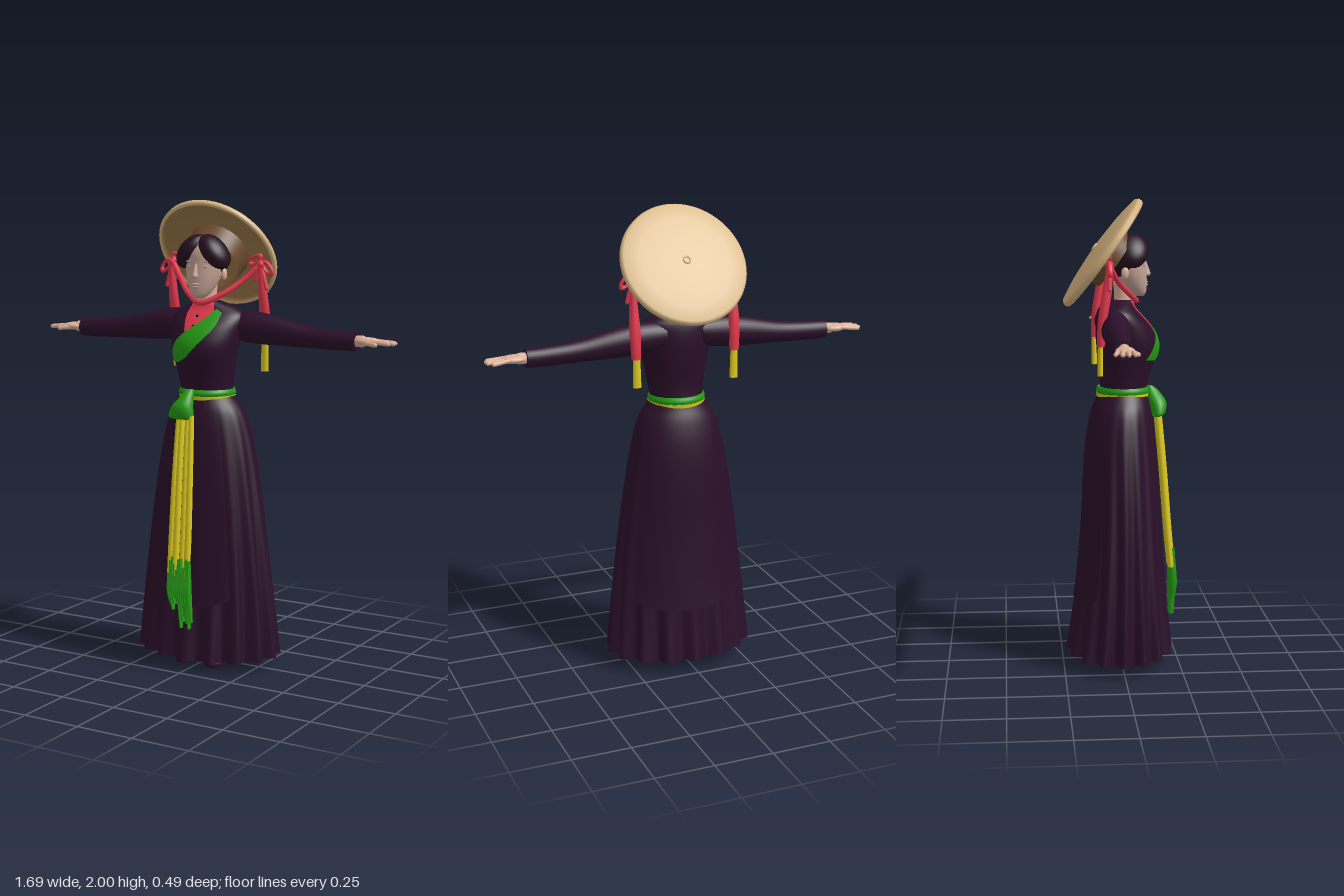
import * as THREE from 'three';

const V = (x, y, z) => new THREE.Vector3(x, y, z);
const TAU = Math.PI * 2;

// Catmull-Rom smoothing of a table of cross-section rows
function smooth(rows, k = 5) {
  const out = [], row = i => rows[Math.max(0, Math.min(rows.length - 1, i))];
  for (let i = 0; i < rows.length - 1; i++) for (let s = 0; s < k; s++) {
    const t = s / k;
    out.push(row(i).map((b, c) => {
      const a = row(i - 1)[c], d = row(i + 1)[c], e = row(i + 2)[c];
      return b + 0.5 * t * (d - a + t * (2 * a - 5 * b + 4 * d - e + t * (3 * (b - d) + e - a)));
    }));
  }
  out.push(rows[rows.length - 1]);
  return out;
}

// Skin a surface over rows; pt(row, angle) gives a point
function loft(rows, segs, pt, { a0 = 0, a1 = TAU, cap = true } = {}) {
  const closed = a1 - a0 > TAU - 0.001, n = closed ? segs : segs + 1, pos = [], idx = [];
  const ring = r => { for (let j = 0; j < n; j++) pos.push(...pt(r, a0 + (a1 - a0) * j / segs)); };
  rows.forEach(ring);
  for (let i = 0; i < rows.length - 1; i++) for (let j = 0; j < segs; j++) {
    const k = (j + 1) % n, a = i * n + j, b = i * n + k;
    idx.push(a, b, b + n, a, b + n, a + n);
  }
  if (closed && cap) [0, rows.length - 1].forEach((r, end) => {
    const s = pos.length / 3, c = [0, 0, 0];
    ring(rows[r]);
    for (let j = 0; j < n; j++) for (let d = 0; d < 3; d++) c[d] += pos[(s + j) * 3 + d] / n;
    pos.push(...c);
    for (let j = 0; j < n; j++) {
      const k = (j + 1) % n;
      idx.push(s + n, ...(end ? [s + j, s + k] : [s + k, s + j]));
    }
  });
  const g = new THREE.BufferGeometry();
  g.setAttribute('position', new THREE.Float32BufferAttribute(pos, 3));
  g.setIndex(idx);
  g.computeVertexNormals();
  return g;
}

// Upright section: [y, half width, front z, back z, fold depth, centre x]
const FOLDS = 16;
const upright = ([y, rx, zf, zb, amp = 0, cx = 0], a) => {
  const f = 1 + amp * Math.cos(FOLDS * a);
  return [cx + rx * f * Math.sin(a), y, (zf + zb) / 2 + (zf - zb) / 2 * f * Math.cos(a)];
};

const TORSO = smooth([
  [1.165, .113, .11, -.09], [1.25, .122, .125, -.085], [1.37, .143, .16, -.1], [1.45, .158, .137, -.105],
  [1.51, .165, .09, -.1], [1.545, .13, .06, -.085], [1.575, .055, .052, -.045]]);
const SKIRT = smooth([
  [.05, .308, .213, -.222, .075], [.3, .292, .19, -.19, .05], [.6, .262, .172, -.165, .03], [.85, .228, .16, -.155, .018],
  [1.0, .2, .148, -.143, .01], [1.1, .17, .136, -.123, .004], [1.16, .132, .122, -.1, 0], [1.19, .115, .112, -.09, 0]]);

// Front depth of the torso at a given x and y
function chestZ(x, y) {
  const i = Math.max(1, TORSO.findIndex(r => r[0] >= y)), p = TORSO[i - 1], q = TORSO[i];
  const t = (y - p[0]) / (q[0] - p[0]), [, rx, zf, zb] = p.map((v, c) => v + t * (q[c] - v));
  return (zf + zb) / 2 + (zf - zb) / 2 * Math.sqrt(Math.max(0, 1 - (x / rx) ** 2));
}

export function createModel() {
  const root = new THREE.Group();
  root.name = 'womanInLongDress';
  const mat = (name, color, side = THREE.FrontSide) => {
    const m = new THREE.MeshStandardMaterial({ color, side });
    m.name = name;
    return m;
  };
  const D = THREE.DoubleSide;
  const purple = mat('dark purple cloth', 0x2a0f29, D), skin = mat('skin', 0xdbaf96), face = mat('face skin', 0xc2a193),
    green = mat('green silk', 0x249a14, D), yellow = mat('yellow silk', 0xdcc81e, D), red = mat('red ribbon', 0xe2374c, D),
    straw = mat('straw', 0xd6b480), inside = mat('inner straw', 0x9c7848, D), brown = mat('brown band', 0x6b4a2c, D),
    hairMat = mat('dark hair', 0x26101f);
  const add = (name, geo, m, parent = root) => {
    const mesh = new THREE.Mesh(geo, m);
    mesh.name = name;
    parent.add(mesh);
    return mesh;
  };
  const ball = (name, m, p, s, rz = 0) => {
    const b = add(name, new THREE.SphereGeometry(1, 28, 18), m);
    b.position.set(...p); b.scale.set(...s); b.rotation.z = rz;
    return b;
  };
  const rod = (name, m, a, b, r) => {
    const o = add(name, new THREE.CapsuleGeometry(r, a.distanceTo(b), 5, 10), m);
    o.position.copy(a).lerp(b, .5);
    o.quaternion.setFromUnitVectors(V(0, 1, 0), b.clone().sub(a).normalize());
    return o;
  };
  const body = (name, rows, m, segs = 40) => add(name, loft(smooth(rows), segs, upright), m);

  // Dress with fluted skirt and two overskirt panels
  add('bodice', loft(TORSO, 56, upright), purple);
  add('skirt', loft(SKIRT, 192, upright, { cap: false }), purple);
  const panel = (name, mid, half) => {
    const rows = SKIRT.filter(r => r[0] > .34);
    rows.unshift([.28, .294, .192, -.192, .052]);
    add(name, loft(rows, 40, ([y, rx, zf, zb, amp], a) => {
      const u = (a - mid) / half, f = 1.008 + amp * .95;
      const drop = y < .3 ? .045 * u * u : 0;
      return upright([y + drop, rx * f, zf * f, zb * f], a);
    }, { a0: mid - half, a1: mid + half }), purple);
  };
  panel('frontOverskirt', 0, .68);
  panel('backOverskirt', Math.PI, .95);

  // Collar insert and diagonal chest band laid on the bodice
  const chestPatch = (name, rows, m, lift) => add(name, loft(smooth(rows), 12, ([x0, y0, x1, y1], t) => {
    const x = x0 + (x1 - x0) * t, y = y0 + (y1 - y0) * t;
    return [x, y, chestZ(x, y) + lift];
  }, { a0: 0, a1: 1 }), m);
  chestPatch('collarInsert', [[-.035, 1.44, .01, 1.44], [-.055, 1.49, .04, 1.49], [-.062, 1.53, .06, 1.53], [-.05, 1.57, .05, 1.57]], red, .004);
  chestPatch('chestBand', [[-.115, 1.325, -.07, 1.32], [-.095, 1.385, -.02, 1.345], [-.06, 1.43, .035, 1.4],
    [.03, 1.5, .09, 1.47], [.07, 1.545, .1, 1.53]], green, .009);
  for (const y of [1.515, 1.475]) ball('collarButton', purple, [-.003, y, chestZ(0, y) + .005], [.007, .007, .004]);

  // Arms, hands and shoes
  const ARM = smooth([[.08, 1.475, .06, .06], [.19, 1.468, .068, .062], [.3, 1.457, .062, .056], [.45, 1.44, .047, .046],
    [.58, 1.432, .042, .04], [.675, 1.43, .039, .036]]);
  for (const s of [1, -1]) {
    const side = s > 0 ? 'left' : 'right';
    const rows = ARM.map(([x, ...r]) => [s * x, ...r]);
    if (s < 0) rows.reverse();
    add(side + 'Sleeve', loft(rows, 28, ([x, yc, ry, rz], a) => [x, yc + ry * Math.cos(a), -.035 + rz * Math.sin(a)]), purple);
    rod(side + 'Wrist', skin, V(s * .63, 1.43, -.035), V(s * .7, 1.432, -.035), .024);
    ball(side + 'Palm', skin, [s * .725, 1.432, -.035], [.055, .018, .038]);
    [[-.078, .818], [-.053, .836], [-.028, .837], [-.004, .826]].forEach(([z, tip]) =>
      rod(side + 'Finger', skin, V(s * .75, 1.434, -.035 + (z + .04) * .75), V(s * tip, 1.428, z), .0085));
    rod(side + 'Thumb', skin, V(s * .705, 1.43, -.015), V(s * .775, 1.424, .01), .01);
    body(side + 'Shoe', [[0, .055, .125, -.118, 0, s * .074], [.03, .055, .12, -.118, 0, s * .074],
      [.07, .042, .03, -.11, 0, s * .074], [.3, .045, .03, -.07, 0, s * .074]], purple, 24);
  }

  // Head
  body('neck', [[1.53, .05, .05, -.04], [1.58, .043, .058, -.025], [1.65, .045, .06, -.03]], skin, 24);
  body('face', [[1.59, .018, .1, .06], [1.603, .036, .11, .035], [1.635, .057, .114, .0], [1.68, .074, .113, -.03],
    [1.73, .081, .108, -.04], [1.78, .08, .104, -.04], [1.82, .06, .085, -.03]], face);
  body('nose', [[1.672, .006, .118, .09], [1.68, .014, .13, .09], [1.7, .01, .125, .09], [1.735, .007, .112, .09]], face, 16);
  ball('upperLip', face, [0, 1.648, .111], [.021, .006, .008]);
  ball('lowerLip', face, [0, 1.637, .11], [.017, .006, .009]);
  ball('skullHair', hairMat, [0, 1.755, .01], [.098, .1, .075]);
  for (const s of [1, -1]) {
    ball('eyelid', face, [s * .033, 1.721, .097], [.017, .007, .006]);
    ball('brow', face, [s * .034, 1.744, .095], [.022, .006, .006], -s * .1);
    ball('sweptHair', hairMat, [s * .054, 1.783, .045], [.086, .05, .07], -s * .85);
    ball('ear', skin, [s * .084, 1.69, .015], [.01, .026, .016]);
  }

  // Wide flat hat tilted on the back of the head
  const hat = new THREE.Group();
  hat.name = 'hat';
  hat.position.set(0, 1.773, -.075);
  hat.rotation.x = -.945;
  root.add(hat);
  const lathe = pts => new THREE.LatheGeometry(pts.map(p => new THREE.Vector2(...p)), 72);
  add('hatShell', lathe([[.258, -.014], [.268, -.016], [.273, -.008], [.272, .006], [.262, .016], [.2, .026], [.1, .035], [0, .04]]), straw, hat);
  add('hatLining', lathe([[0, .02], [.15, .014], [.25, .004], [.258, -.014]]), inside, hat);
  add('headBand', lathe([[.125, -.07], [.138, .02]]), brown, hat);
  const knob = add('hatKnob', new THREE.TorusGeometry(.014, .005, 8, 24), straw, hat);
  knob.position.y = .041;
  knob.rotation.x = Math.PI / 2;

  // Chin strap, bows and tassels
  const strap = new THREE.CatmullRomCurve3([V(-.215, 1.73, -.06), V(-.15, 1.66, -.02), V(-.085, 1.607, .03), V(0, 1.569, .07),
    V(.085, 1.607, .03), V(.15, 1.66, -.02), V(.215, 1.73, -.06)]);
  add('chinStrap', new THREE.TubeGeometry(strap, 48, .012, 10), red);
  for (const s of [1, -1]) {
    ball('bowKnot', red, [s * .218, 1.728, -.06], [.02, .02, .018]);
    [[.19, 1.747, .6], [.25, 1.715, -.9], [.245, 1.66, -1.2], [.19, 1.695, 1.2]].forEach(([x, y, r], i) => {
      if (i < 2) {
        const loop = add('bowLoop', new THREE.TorusGeometry(.024, .01, 10, 24), red);
        loop.position.set(s * x, y, -.06);
        loop.scale.set(1.2, .6, 1);
        loop.rotation.z = s * r;
      } else rod('bowEnd', red, V(s * .218, 1.728, -.06), V(s * x, y - .03, -.06), .009);
    });
    body('ribbonTail', [[1.395, .02, -.08, -.112, 0, s * .22], [1.5, .024, -.07, -.108, 0, s * .222],
      [1.62, .018, -.05, -.09, 0, s * .222], [1.73, .01, -.045, -.07, 0, s * .22]], red, 20);
    body('tassel', [[1.275, .018, -.086, -.11, 0, s * .218], [1.41, .016, -.086, -.108, 0, s * .22]], yellow, 20);
  }

  // Belt, knot and hanging sash with a fringed end
  body('belt', [[1.176, .121, .124, -.1], [1.19, .124, .127, -.103], [1.205, .119, .12, -.097]], green, 56);
  body('beltEdge', [[1.162, .124, .123, -.1], [1.178, .123, .125, -.102]], yellow, 56);
  body('sashKnot', [[1.082, .055, .172, .13, 0, -.04], [1.095, .06, .19, .13, 0, -.042], [1.14, .047, .195, .12, 0, -.036],
    [1.185, .026, .165, .11, 0, -.022], [1.207, .016, .14, .11, 0, -.02]], green, 28);
  for (let i = 0; i < 4; i++) {
    const u = i / 3 - .5, dz = i % 2 ? .004 : -.004;
    const strip = ([y, z, w]) => [y, w * .17, z + dz, z + dz - .026, 0, -.022 + u * w];
    body('sashStrip', [[.42, .233, .085], [.6, .216, .085], [.85, .196, .078], [1.1, .172, .066]].map(strip), yellow, 16);
  }
  for (let i = 0; i < 11; i++) {
    const x = -.066 + i * .0098, jag = Math.sin(i * 4.7) * .5 + .5;
    const low = (i < 5 ? .27 : .195) + jag * .05, high = .43 + .07 * Math.abs(Math.sin(i * 2.3));
    body('fringe', [[low, .006, .235, .214, 0, x + .012], [.35, .008, .244, .21, 0, x + .004],
      [high, .007, .234, .212, 0, x]], green, 10);
  }
  return root;
}
